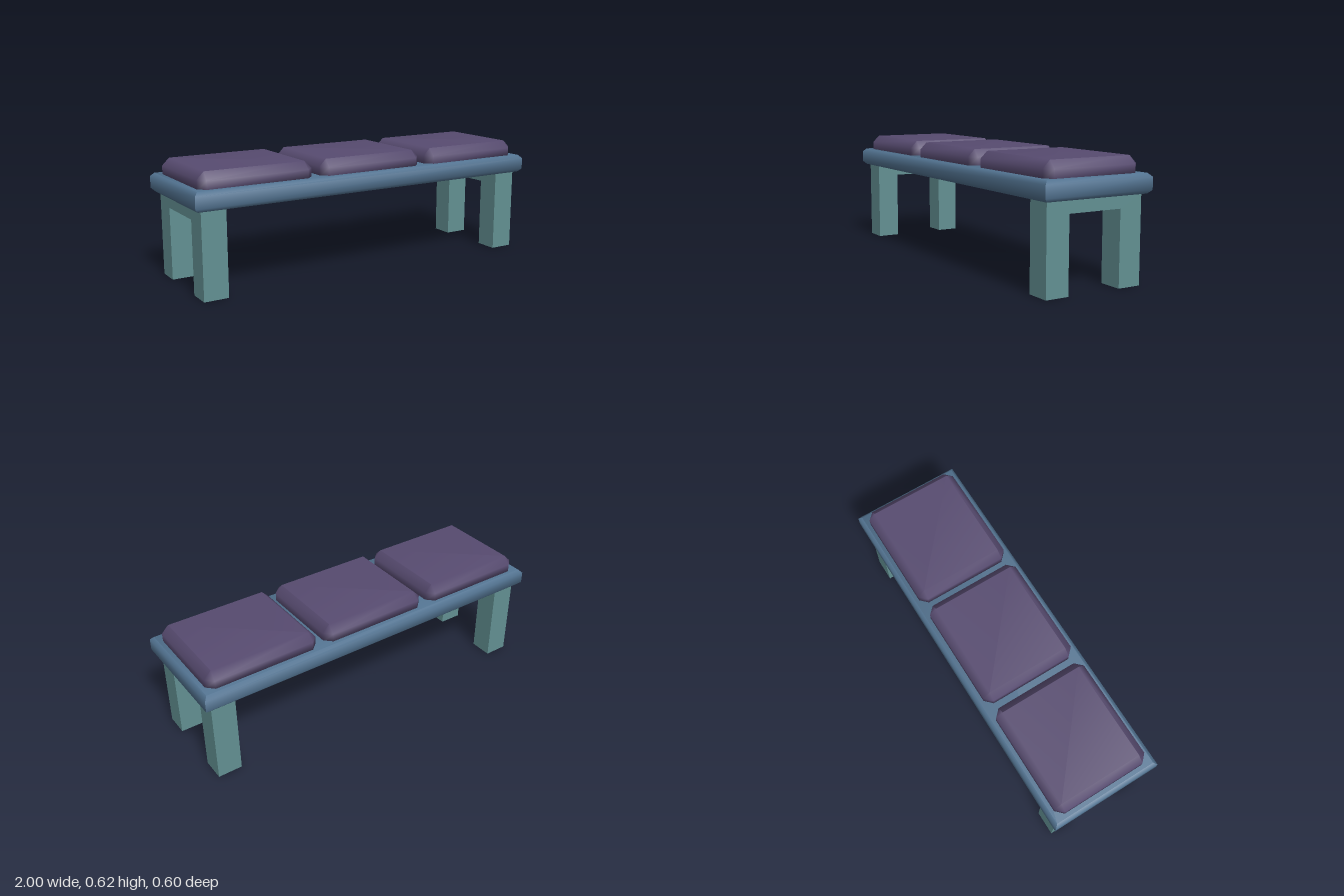
import * as THREE from 'three';
import { toCreasedNormals } from 'three/addons/utils/BufferGeometryUtils.js';

const mat = (name, color) => {
  const m = new THREE.MeshStandardMaterial({ color });
  m.name = name;
  return m;
};

// Rectangle outline in x/z with corners cut by c (c = 0 gives a plain rectangle)
function outline(hx, hz, c) {
  if (c === 0) return [[hx, hz], [hx, -hz], [-hx, -hz], [-hx, hz]];
  return [
    [hx - c, hz], [hx, hz - c], [hx, c - hz], [hx - c, -hz],
    [c - hx, -hz], [-hx, c - hz], [-hx, hz - c], [c - hx, hz],
  ];
}

// Loft through rings listed bottom to top, capped at both ends
function loft(rings) {
  const n = rings[0].points.length;
  const pos = [], idx = [];
  for (const { y, points } of rings) for (const [x, z] of points) pos.push(x, y, z);
  for (let r = 0; r < rings.length - 1; r++) {
    for (let i = 0; i < n; i++) {
      const a = r * n + i, b = r * n + (i + 1) % n;
      idx.push(a, b, b + n, a, b + n, a + n);
    }
  }
  const top = (rings.length - 1) * n;
  for (let i = 1; i < n - 1; i++) {
    idx.push(0, i + 1, i);
    idx.push(top, top + i, top + i + 1);
  }
  const g = new THREE.BufferGeometry();
  g.setAttribute('position', new THREE.Float32BufferAttribute(pos, 3));
  g.setIndex(idx);
  g.computeVertexNormals();
  return g;
}

export function createModel() {
  const group = new THREE.Group();
  group.name = 'bench';
  const legMat = mat('teal legs', 0x629092);
  const seatMat = mat('blue seat', 0x527391);
  const cushionMat = mat('purple cushion', 0x574b70);

  const add = (name, geometry, material, x = 0) => {
    const mesh = new THREE.Mesh(geometry, material);
    mesh.name = name;
    mesh.position.x = x;
    group.add(mesh);
  };

  // Seat board with bevelled edges and square corners
  const b = 0.018, hx = 1, hz = 0.302;
  const seat = loft([
    { y: 0.44, points: outline(hx - b, hz - b, 0) },
    { y: 0.44 + b, points: outline(hx, hz, 0) },
    { y: 0.537 - b, points: outline(hx, hz, 0) },
    { y: 0.537, points: outline(hx - b, hz - b, 0) },
  ]);
  add('seatBoard', toCreasedNormals(seat, 0.9), seatMat);

  // Three cushions, bevelled on top and at the upright corners
  const c = 0.038, cx = 0.305, cz = 0.264;
  const cushion = loft([
    { y: 0.53, points: outline(cx, cz, c) },
    { y: 0.618 - c, points: outline(cx, cz, c) },
    { y: 0.618, points: outline(cx - c, cz - c, 0.001) },
  ]);
  ['rightCushion', 'middleCushion', 'leftCushion'].forEach((name, i) =>
    add(name, cushion, cushionMat, (i - 1) * 0.655));

  // Arched leg frame at each end
  const arch = new THREE.Shape([
    [-0.268, 0], [-0.145, 0], [-0.145, 0.377], [0.145, 0.377],
    [0.145, 0], [0.268, 0], [0.268, 0.442], [-0.268, 0.442],
  ].map(([z, y]) => new THREE.Vector2(z, y)));
  const legs = new THREE.ExtrudeGeometry(arch, { depth: 0.128, bevelEnabled: false });
  legs.translate(0, 0, -0.064).rotateY(Math.PI / 2);
  add('leftLegFrame', legs, legMat, 0.897);
  add('rightLegFrame', legs, legMat, -0.897);

  return group;
}
